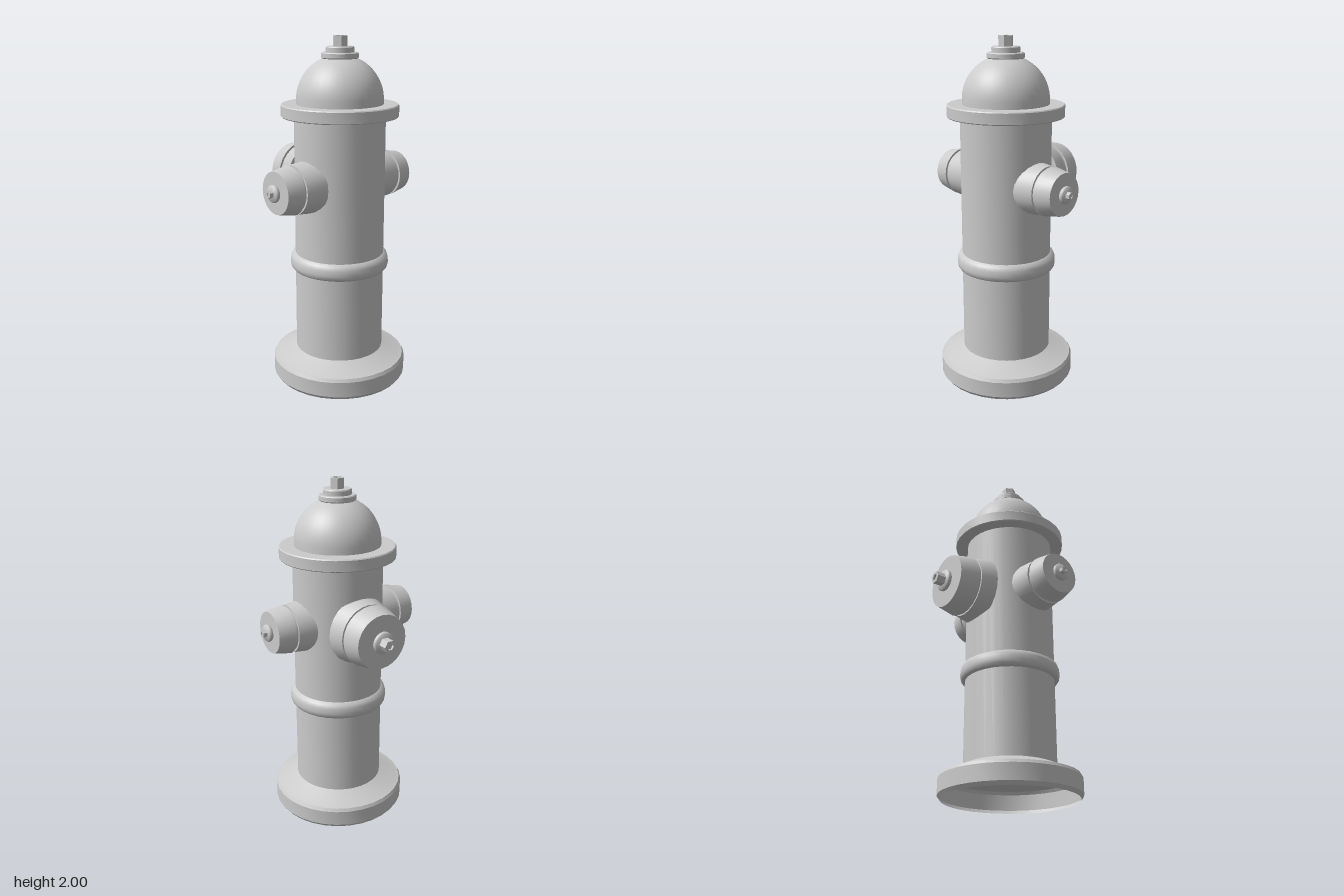
import * as THREE from 'three';
import { toCreasedNormals } from 'three/addons/utils/BufferGeometryUtils.js';

const material = new THREE.MeshStandardMaterial({ color: 0xcccccc, side: THREE.DoubleSide });

function addMesh(parent, name, geometry, crease = 0.6) {
  const mesh = new THREE.Mesh(toCreasedNormals(geometry, crease), material);
  mesh.name = name;
  parent.add(mesh);
  return mesh;
}

// Turned part from [radius, height] pairs, bottom to top
function turned(parent, name, profile, segments = 32, crease = 0.5) {
  const points = profile.map(([r, y]) => new THREE.Vector2(r, y));
  return addMesh(parent, name, new THREE.LatheGeometry(points, segments), crease);
}

function hexagon(PathType, radius) {
  const points = [];
  for (let i = 0; i < 6; i++) {
    const a = Math.PI / 2 + (i * Math.PI) / 3;
    points.push(new THREE.Vector2(radius * Math.cos(a), radius * Math.sin(a)));
  }
  return new PathType(points);
}

// Hexagonal nut with a hexagonal socket, pointing up from height y
function hexNut(parent, name, radius, y, height) {
  const shape = hexagon(THREE.Shape, radius);
  shape.holes.push(hexagon(THREE.Path, radius * 0.58));
  const nut = new THREE.ExtrudeGeometry(shape, { depth: height, bevelEnabled: false });
  nut.rotateX(-Math.PI / 2);
  nut.translate(0, y, 0);
  addMesh(parent, name, nut, 0.3);
  const floor = new THREE.ShapeGeometry(hexagon(THREE.Shape, radius * 0.6));
  floor.rotateX(-Math.PI / 2);
  floor.translate(0, y + height * 0.75, 0);
  addMesh(parent, name + 'SocketFloor', floor, 0.3);
}

// Outlet along local +y: neck, groove, tapered cap, rounded washer and nut
function outlet(name, s) {
  const group = new THREE.Group();
  group.name = name;
  turned(group, name + 'Neck', [
    [s.rootR, s.root], [s.neckR, s.neck], [s.grooveR, s.neck], [s.grooveR, s.cap],
  ], 24);
  turned(group, name + 'Cap', [
    [s.grooveR, s.cap], [s.capR, s.cap], [s.faceR, s.face], [0, s.face],
  ], 24);
  const w = s.washer - s.face;
  turned(group, name + 'Washer', [
    [s.washerR * 0.9, s.face], [s.washerR, s.face + w * 0.25],
    [s.washerR, s.face + w * 0.75], [s.washerR * 0.9, s.washer], [0, s.washer],
  ], 20, 0.9);
  hexNut(group, name + 'Nut', s.nutR, s.washer, s.tip - s.washer);
  return group;
}

export function createModel() {
  const model = new THREE.Group();
  model.name = 'hydrant';

  // Upright parts share one axis
  const column = new THREE.Group();
  column.name = 'column';
  column.position.set(0.063, 0, -0.008);
  model.add(column);

  // Hollow base, open underneath
  turned(column, 'base', [
    [0.38, 0], [0.395, 0.02], [0.395, 0.11], [0.385, 0.128], [0.36, 0.135], [0.258, 0.178],
  ]);
  turned(column, 'barrel', [[0.258, 0.178], [0.258, 1.6]]);
  turned(column, 'barrelRing', [
    [0.258, 0.67], [0.274, 0.673], [0.283, 0.685], [0.287, 0.705],
    [0.285, 0.735], [0.277, 0.757], [0.258, 0.768],
  ], 32, 0.9);
  turned(column, 'topFlange', [
    [0.255, 1.56], [0.326, 1.56], [0.331, 1.565], [0.331, 1.624], [0.326, 1.63], [0.24, 1.63],
  ]);

  // Bonnet: short upright skirt, then a spherical dome
  const dome = [[0.245, 1.63]];
  for (let i = 0; i <= 10; i++) {
    const a = 0.06 + (i / 10) * 1.1;
    dome.push([0.245 * Math.cos(a), 1.653 + 0.245 * Math.sin(a)]);
  }
  turned(column, 'bonnet', dome);
  turned(column, 'bonnetCap', [
    [0.098, 1.876], [0.104, 1.882], [0.104, 1.905], [0.099, 1.91],
    [0.079, 1.91], [0.079, 1.936], [0.075, 1.942], [0, 1.942],
  ]);
  hexNut(column, 'operatingNut', 0.042, 1.94, 0.06);

  // Matching small outlets at front and back
  const small = {
    root: 0.205, rootR: 0.15, neck: 0.335, neckR: 0.137, grooveR: 0.126, cap: 0.352,
    capR: 0.138, face: 0.449, faceR: 0.119, washer: 0.473, washerR: 0.049, tip: 0.497, nutR: 0.021,
  };
  for (const [name, side] of [['frontOutlet', 1], ['backOutlet', -1]]) {
    const part = outlet(name, small);
    part.position.set(0.07, 1.188, 0);
    part.rotation.x = (side * Math.PI) / 2;
    model.add(part);
  }

  // Large outlet on the right side
  const large = outlet('rightOutlet', {
    root: 0.228, rootR: 0.196, neck: 0.322, neckR: 0.174, grooveR: 0.165, cap: 0.343,
    capR: 0.178, face: 0.449, faceR: 0.155, washer: 0.474, washerR: 0.063, tip: 0.526, nutR: 0.036,
  });
  large.position.set(0.063, 1.19, -0.008);
  large.rotation.z = Math.PI / 2;
  model.add(large);

  return model;
}
